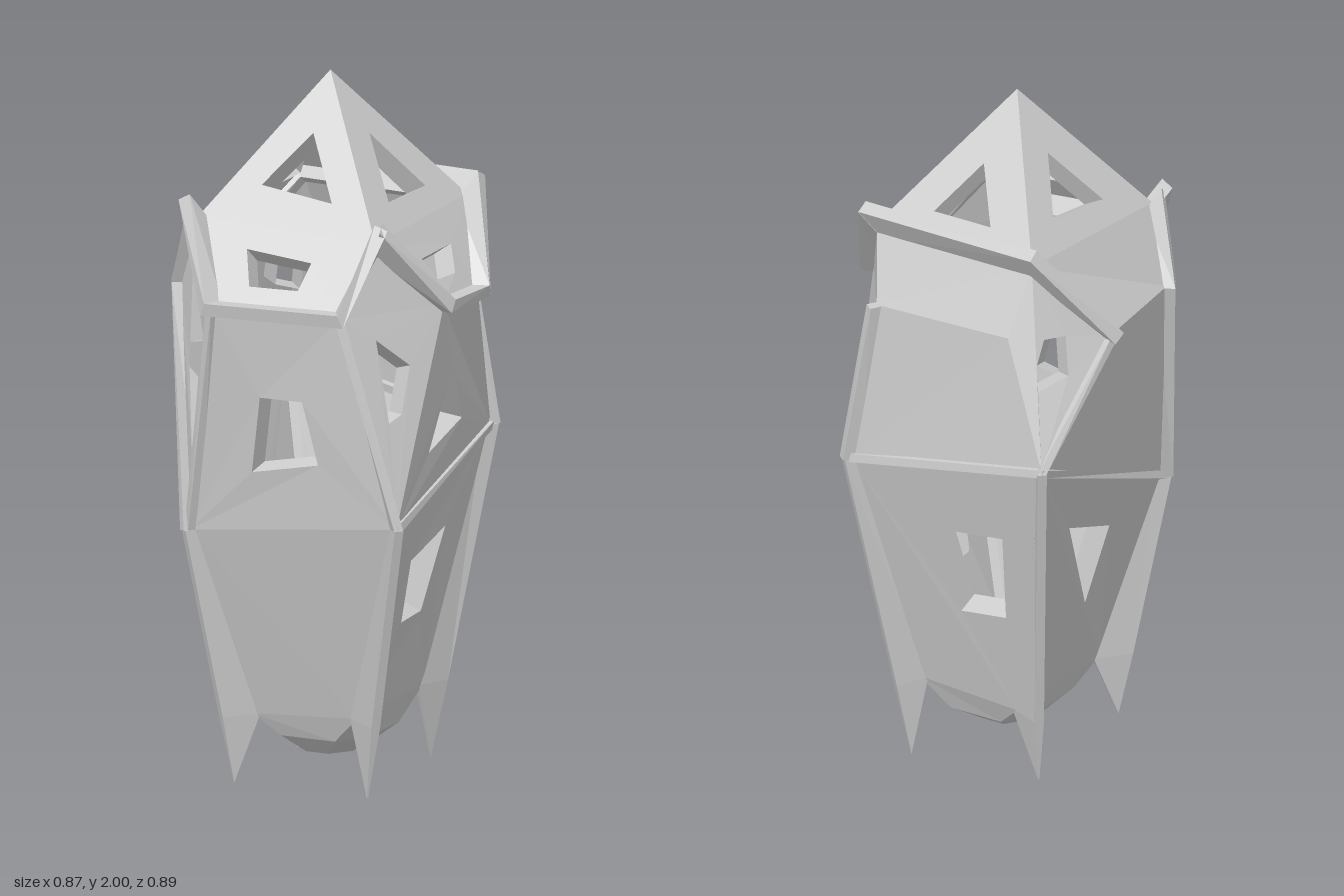
import * as THREE from 'three';

const V = (x, y, z) => new THREE.Vector3(x, y, z);
const mat = new THREE.MeshStandardMaterial({ color: 0xcccccc, flatShading: true, side: THREE.DoubleSide });

function meshFrom(tris, name) {
  const g = new THREE.BufferGeometry().setFromPoints(tris);
  g.computeVertexNormals();
  const m = new THREE.Mesh(g, mat);
  m.name = name;
  return m;
}

// Wall panel through corner points, with windows that have inward reveals.
// A null window coordinate is solved so the point lies on the panel.
function panel(name, pts, windows = []) {
  const c = V(0, 0, 0), n = V(0, 0, 0);
  pts.forEach((p, i) => {
    c.addScaledVector(p, 1 / pts.length);
    n.add(p.clone().cross(pts[(i + 1) % pts.length]));
  });
  n.normalize();
  if (n.dot(c.clone().sub(V(0, 1, 0))) < 0) n.negate();
  const q = new THREE.Quaternion().setFromUnitVectors(n, V(0, 0, 1));
  const flat = p => { const f = p.clone().sub(c).applyQuaternion(q); return new THREE.Vector2(f.x, f.y); };
  const holes = windows.map(w => w.map(a => {
    const k = a.indexOf(null), p = V(...a.map(v => v ?? 0));
    const gap = c.clone().sub(p).dot(n);
    if (k < 0) return p.addScaledVector(n, gap);
    return p.setComponent(k, gap / n.getComponent(k));
  }));
  const order = (list, ccw) => THREE.ShapeUtils.isClockWise(list.map(flat)) === ccw ? [...list].reverse() : list;
  const outer = order(pts, true), inner = holes.map(h => order(h, false));
  const all = [outer, ...inner].flat(), tris = [];
  THREE.ShapeUtils.triangulateShape(outer.map(flat), inner.map(h => h.map(flat)))
    .forEach(f => f.forEach(i => tris.push(all[i])));
  for (const h of inner) {
    const mid = h.reduce((s, p) => s.addScaledVector(p, 1 / h.length), V(0, 0, 0));
    const deep = h.map(p => p.clone().lerp(mid, 0.12).addScaledVector(n, -0.06));
    h.forEach((p, i) => {
      const j = (i + 1) % h.length;
      tris.push(p, h[j], deep[j], p, deep[j], deep[i]);
    });
  }
  return meshFrom(tris, name);
}

// Solid through four-point sections, closed at both ends
function loft(name, secs) {
  const t = [], quad = (a, b, c, d) => t.push(a, b, c, a, c, d);
  for (let i = 0; i + 1 < secs.length; i++)
    for (let j = 0; j < 4; j++) {
      const k = (j + 1) % 4;
      quad(secs[i][j], secs[i][k], secs[i + 1][k], secs[i + 1][j]);
    }
  quad(...secs[0]);
  quad(...secs[secs.length - 1]);
  return meshFrom(t, name);
}

// Raised strip following the edges between panels
function rib(name, path, out, half, flare = false) {
  return loft(name, path.map((p, i) => {
    const high = flare && p.y > 1.5;
    const r = V(p.x, 0, p.z).normalize();
    if (high) r.setY(1.3).normalize();
    const tan = path[Math.min(i + 1, path.length - 1)].clone().sub(path[Math.max(i - 1, 0)]);
    const s = tan.cross(r).normalize().multiplyScalar(half);
    const a = p.clone().addScaledVector(r, -0.03), b = p.clone().addScaledVector(r, high ? out * 2 : out);
    return [a.clone().add(s), b.clone().add(s), b.clone().sub(s), a.clone().sub(s)];
  }));
}

// Blade that runs down a lower corner and ends in a pointed foot
function leg(top, base, tip) {
  const r = V(top.x, 0, top.z).normalize(), s = V(-r.z, 0, r.x).multiplyScalar(0.013);
  const topOut = top.clone().addScaledVector(r, 0.02);
  const mid = tip.clone().lerp(topOut, base.y / topOut.y);
  const sec = (a, b, k) => [a.clone().addScaledVector(s, k), b.clone().addScaledVector(s, k),
    b.clone().addScaledVector(s, -k), a.clone().addScaledVector(s, -k)];
  return loft('leg', [sec(top.clone().addScaledVector(r, -0.03), topOut, 1),
    sec(base.clone().addScaledVector(r, -0.02), mid, 1), sec(tip, tip, 0.15)]);
}

export function createModel() {
  const g = new THREE.Group();
  g.name = 'pod';
  const A = V(0, 2, -0.01);
  // roof corners
  const R1 = V(0.27, 1.58, 0.23), R2 = V(-0.27, 1.61, 0.26), R3 = V(-0.24, 1.63, -0.29), R4 = V(0.28, 1.62, -0.29);
  // eaves
  const F1 = V(-0.15, 1.39, 0.41), F2 = V(0.23, 1.39, 0.37), Q1 = V(0.4, 1.39, 0.07), Q2 = V(0.4, 1.39, -0.13);
  const L1 = V(-0.4, 1.4, -0.13), L2 = V(-0.36, 1.4, 0.2), K1 = V(0.22, 1.42, -0.38), K2 = V(-0.22, 1.44, -0.38);
  // waist corners
  const FR = V(0.39, 0.8, 0.33), FL = V(-0.26, 0.73, 0.33), BR = V(0.29, 0.94, -0.41), BL = V(-0.36, 1.08, -0.42);
  // base corners
  const base = [V(0.19, 0.21, 0.19), V(0.17, 0.22, -0.24), V(-0.15, 0.2, -0.23), V(-0.14, 0.19, 0.19)];
  const waist = [FR, BR, BL, FL];

  g.add(
    // roof
    panel('roofFront', [A, R2, R1], [[[0, 1.84, null], [0.11, 1.67, null], [-0.11, 1.7, null]]]),
    panel('roofRight', [A, R1, R4], [[[null, 1.83, -0.02], [null, 1.67, -0.13], [null, 1.66, 0.07]]]),
    panel('roofBack', [A, R4, R3], [[[-0.07, null, -0.245], [0.12, null, -0.245], [0.02, null, -0.145]]]),
    panel('roofLeft', [A, R3, R2], [[[-0.2, null, -0.125], [-0.11, null, -0.02], [-0.22, null, 0.09]]]),
    panel('eaveFront', [R2, F1, F2, R1],
      [[[-0.1, 1.54, null], [0.1, 1.52, null], [0.085, 1.45, null], [-0.06, 1.45, null]]]),
    panel('eaveRight', [R1, Q1, Q2, R4],
      [[[null, 1.51, 0.06], [null, 1.52, -0.11], [null, 1.45, -0.06], [null, 1.45, 0.03]]]),
    panel('eaveLeft', [R3, L1, L2, R2]),
    panel('eaveBack', [R4, R3, K2, K1]),
    // upper walls
    panel('wallFront', [F1, FL, FR, F2],
      [[[-0.02, 1.14, null], [0.11, 1.14, null], [0.15, 0.96, null], [-0.055, 0.92, null]]]),
    panel('wallFrontLeft', [R2, L2, FL, F1], [
      [[-0.29, 1.46, null], [-0.2, 1.28, null], [-0.29, 1.25, null]],
      [[-0.29, 1.18, null], [-0.23, 1.17, null], [-0.255, 0.94, null]]]),
    panel('wallFrontRight', [F2, FR, Q1, R1],
      [[[null, 1.32, 0.28], [null, 1.24, 0.2], [null, 1.11, 0.25], [null, 1.09, 0.29]]]),
    panel('wallRight', [Q1, FR, BR, Q2],
      [[[null, 1.16, 0], [null, 1.16, -0.05], [null, 1.02, -0.14], [null, 0.97, 0.1]]]),
    panel('wallBackRight', [Q2, BR, K1, R4]),
    panel('wallBack', [K1, K2, BL, BR]),
    panel('wallBackLeft', [R3, L1, BL, K2],
      [[[-0.29, 1.43, -0.34], [-0.34, 1.43, -0.26], [-0.36, 1.32, -0.28], [-0.31, 1.29, -0.36]]]),
    panel('wallLeft', [L1, BL, FL, L2]),
  );

  // tapered lower walls between waist and base
  const lowerWindows = [
    [[[null, 0.65, 0.08], [null, 0.7, -0.16], [null, 0.46, -0.115], [null, 0.46, 0.04]]],
    [[[0.03, 0.77, null], [-0.19, 0.8, null], [-0.16, 0.52, null], [-0.01, 0.5, null]]],
    [[[null, 0.78, -0.17], [null, 0.68, 0.07], [null, 0.44, 0.03]]],
    [],
  ];
  const tips = [V(0.25, 0, 0.24), V(0.165, 0, -0.29), V(-0.215, 0, -0.22), V(-0.17, 0, 0.24)];
  for (let i = 0; i < 4; i++) {
    const j = (i + 1) % 4;
    g.add(panel('lowerWall', [waist[i], base[i], base[j], waist[j]], lowerWindows[i]));
    g.add(leg(waist[i], base[i], tips[i]));
  }

  // faceted bowl underneath
  const bowl = [], ring = (k, y, cut) => base.flatMap((p, i) => [3, 1].map(d =>
    p.clone().lerp(base[(i + d) % 4], cut).multiply(V(k, 0, k)).setY(y ?? p.y)));
  const rings = [ring(1, null, 0), ring(0.86, 0.13, 0.2), ring(0.5, 0.075, 0.3), ring(0, 0.05, 0)];
  for (let r = 0; r < 3; r++)
    for (let i = 0; i < 8; i++) {
      const j = (i + 1) % 8, a = rings[r], b = rings[r + 1];
      bowl.push(a[i], b[i], b[j], a[i], b[j], a[j]);
    }
  g.add(meshFrom(bowl, 'bowl'));

  // roof rims, corner ribs and the waist rail
  g.add(
    rib('rimFront', [R2, F1, F2, R1], 0.035, 0.02, true),
    rib('rimRight', [R1, Q1, Q2, R4], 0.035, 0.02, true),
    rib('rimBack', [R4, R3, L1], 0.035, 0.02, true),
    rib('ribFrontLeft', [R2, L2, FL], 0.025, 0.013, true),
    rib('ribFront', [F1, FL], 0.012, 0.012),
    rib('ribFrontRight', [F2, FR], 0.015, 0.013),
    rib('ribBackRight', [K1, BR], 0.025, 0.013),
    rib('ribBackLeft', [L1, BL], 0.015, 0.012),
    rib('waistRail', [FR, BR, BL, FL], 0.015, 0.012),
  );
  return g;
}
